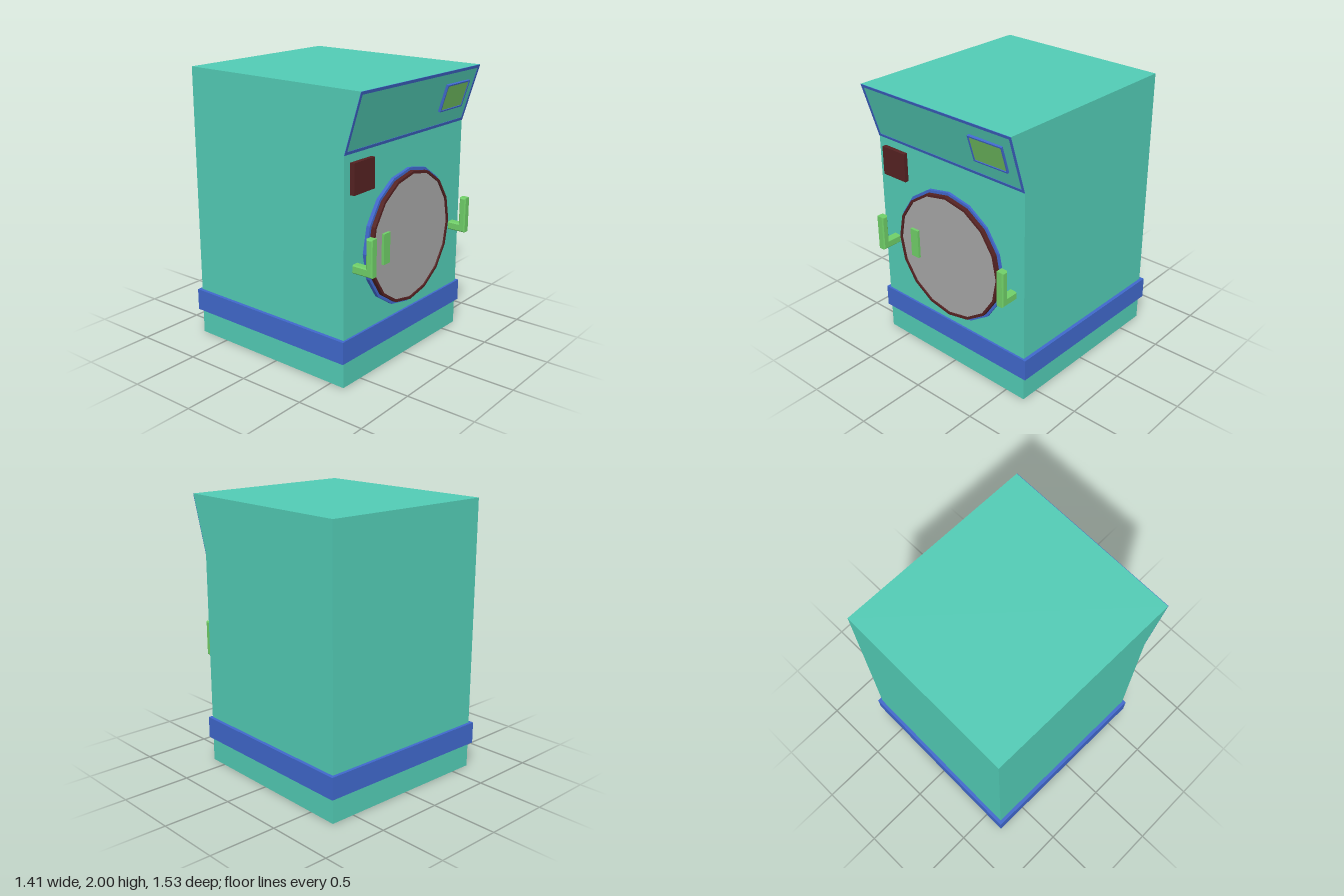
import * as THREE from 'three';

export function createModel() {
  const model = new THREE.Group();
  const mat = (name, color) => {
    const m = new THREE.MeshStandardMaterial({ color });
    m.name = name;
    return m;
  };
  const teal = mat('teal casing', 0x52cbb5);
  const blue = mat('blue trim', 0x4068cc);
  const brown = mat('dark brown', 0x552222);
  const grey = mat('grey glass', 0xa6a6a6);
  const green = mat('green handle', 0x70cf68);
  const lime = mat('green screen', 0x74c464);

  const add = (parent, name, geometry, material, x = 0, y = 0, z = 0) => {
    const mesh = new THREE.Mesh(geometry, material);
    mesh.name = name;
    mesh.position.set(x, y, z);
    parent.add(mesh);
    return mesh;
  };
  const box = (w, h, d) => new THREE.BoxGeometry(w, h, d);
  const points = (list) => list.map(([x, y]) => new THREE.Vector2(x, y));
  const extrude = (shape, depth) =>
    new THREE.ExtrudeGeometry(shape, { depth, bevelEnabled: false });

  const rectangle = (w, h) =>
    points([[-w / 2, -h / 2], [w / 2, -h / 2], [w / 2, h / 2], [-w / 2, h / 2]]);
  const polygon = (r) => points(Array.from({ length: 16 }, (_, i) => {
    const a = (i * Math.PI) / 8;
    return [r * Math.cos(a), r * Math.sin(a)];
  }));
  const ring = (outer, inner, depth) => {
    const shape = new THREE.Shape(outer);
    shape.holes.push(new THREE.Path(inner));
    return extrude(shape, depth);
  };

  // Casing, turned very slightly, with an overhanging control panel
  const frontZ = 0.62, topZ = 0.7475, breakY = 1.59;
  const slope = Math.atan((topZ - frontZ) / (2 - breakY));
  const slopeLength = Math.hypot(topZ - frontZ, 2 - breakY);
  const casing = new THREE.Group();
  casing.name = 'casing';
  casing.rotation.y = -0.0166;
  model.add(casing);

  const profile = new THREE.Shape(points([
    [-0.73, 0], [frontZ, 0], [frontZ, breakY], [topZ, 2], [-0.73, 2],
  ]));
  const bodyGeometry = extrude(profile, 1.34);
  bodyGeometry.translate(0, 0, -0.67);
  bodyGeometry.rotateY(-Math.PI / 2);
  add(casing, 'body', bodyGeometry, teal);

  // Band around the base and border of the control panel
  add(casing, 'baseBand', box(1.39, 0.16, 1.388), blue, 0, 0.265, -0.059);
  const border = add(casing, 'panelBorder',
    ring(rectangle(1.34, slopeLength), rectangle(1.3, slopeLength - 0.044), 0.003),
    blue, 0, (breakY + 2) / 2, (frontZ + topZ) / 2);
  border.rotation.x = slope;

  // Display on the sloped panel
  const display = new THREE.Group();
  display.name = 'display';
  display.position.set(0.425, 1.81, 0.694);
  display.rotation.x = slope;
  model.add(display);
  add(display, 'displayFrame',
    ring(rectangle(0.28, 0.2), rectangle(0.264, 0.18), 0.03), blue, 0, 0, -0.012);
  add(display, 'displayScreen', box(0.266, 0.182, 0.022), lime, 0, 0, 0.001);

  // Square plate beside the door
  add(model, 'squarePlate', box(0.215, 0.21, 0.05), brown, -0.5125, 1.43, 0.618);

  // Round sixteen-sided door
  const door = new THREE.Group();
  door.name = 'door';
  door.position.set(0, 0.892, 0);
  model.add(door);
  add(door, 'doorSurround', ring(polygon(0.485), polygon(0.45), 0.05), blue, 0, 0, 0.59);
  add(door, 'doorRim', ring(polygon(0.465), polygon(0.447), 0.07), brown, 0, 0, 0.6);
  add(door, 'doorGlass', extrude(new THREE.Shape(polygon(0.449)), 0.06), grey, 0, 0, 0.6);
  add(door, 'doorLatch', box(0.07, 0.215, 0.03), green, -0.307, 0.003, 0.664);

  // L-shaped handles on both sides of the door
  const bevel = 0.008;
  const handleGeometry = new THREE.ExtrudeGeometry(new THREE.Shape(points([
    [0.59, 0.79], [0.765, 0.79], [0.765, 1.05], [0.715, 1.05], [0.715, 0.85], [0.59, 0.85],
  ])), {
    depth: 0.06 - 2 * bevel, bevelThickness: bevel, bevelSize: bevel,
    bevelOffset: -bevel, bevelSegments: 1,
  });
  handleGeometry.translate(0, 0, bevel - 0.03);
  handleGeometry.rotateY(-Math.PI / 2);
  for (const [side, name] of [[1, 'leftHandle'], [-1, 'rightHandle']]) {
    add(model, name, handleGeometry, green, side * 0.563);
  }

  return model;
}
